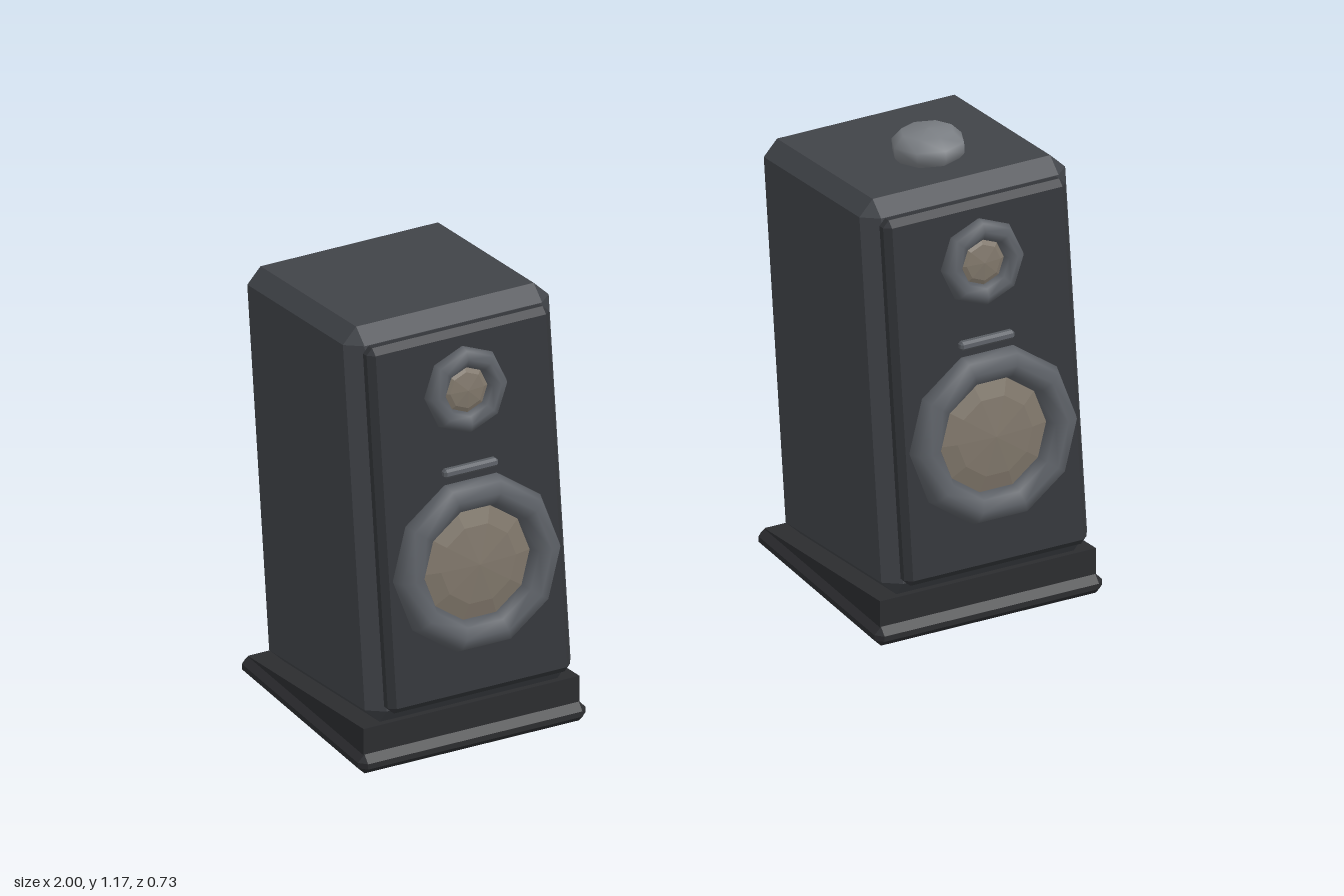
import * as THREE from 'three';
import { ConvexGeometry } from 'three/addons/geometries/ConvexGeometry.js';

const TILT = 0.118;
const mat = (color, flatShading = false) => new THREE.MeshStandardMaterial({ color, flatShading });
const CABINET = mat(0x42454a, true);
const PANEL = mat(0x34363a, true);
const BASE = mat(0x2c2d30, true);
const RING = mat(0x5c6066);
const CONE = mat(0x7d7468, true);
const PORT = mat(0x1c1a17, true);
const KNOB = mat(0x7b7f84);

function add(parent, name, geometry, material, x = 0, y = 0, z = 0) {
  const mesh = new THREE.Mesh(geometry, material);
  mesh.name = name;
  mesh.position.set(x, y, z);
  parent.add(mesh);
  return mesh;
}

// Box with every edge cut by a single chamfer b
function chamferBox(w, h, d, b) {
  const half = [w / 2, h / 2, d / 2];
  const points = [];
  for (const sx of [-1, 1]) for (const sy of [-1, 1]) for (const sz of [-1, 1]) {
    for (let axis = 0; axis < 3; axis++) {
      const c = half.map((v, i) => (i === axis ? v : v - b));
      points.push(new THREE.Vector3(sx * c[0], sy * c[1], sz * c[2]));
    }
  }
  return new ConvexGeometry(points);
}

// Solid of revolution around y, with a corner on the x axis
function lathe(profile, sides) {
  return new THREE.LatheGeometry(profile.map(([r, y]) => new THREE.Vector2(r, y)), sides, Math.PI / 2);
}

// Faceted surround with a shallow dome, facing +z
function driver(parent, name, y, z, radius, tube, sides, height) {
  const group = new THREE.Group();
  group.name = name;
  group.position.set(0, y, z);
  add(group, name + 'Ring', new THREE.TorusGeometry(radius, tube, 8, sides), RING);
  const dome = lathe([[radius, -0.01], [radius * 0.55, height * 0.6], [0, height]], sides);
  add(group, name + 'Cone', dome.rotateX(Math.PI / 2), CONE);
  parent.add(group);
}

function createSpeaker(name, x) {
  const speaker = new THREE.Group();
  speaker.name = name;
  speaker.position.x = x;

  // Foot plate and the wedge that leans the cabinet back
  add(speaker, 'footPlate', chamferBox(0.612, 0.05, 0.615, 0.018), BASE, 0, 0.025, -0.009);
  const side = new THREE.Shape([
    new THREE.Vector2(0.28, 0.03), new THREE.Vector2(0.28, 0.118),
    new THREE.Vector2(-0.295, 0.05), new THREE.Vector2(-0.295, 0.03),
  ]);
  const wedge = new THREE.ExtrudeGeometry(side, { depth: 0.58, bevelEnabled: false });
  wedge.translate(0, 0, -0.29).rotateY(-Math.PI / 2);
  add(speaker, 'wedge', wedge, BASE);

  // Everything above leans back together
  const body = new THREE.Group();
  body.name = 'body';
  body.rotation.x = -TILT;
  speaker.add(body);
  add(body, 'cabinet', chamferBox(0.553, 1.006, 0.557, 0.038), CABINET, 0, 0.589, 0.0365);
  add(body, 'frontPanel', chamferBox(0.49, 0.93, 0.05, 0.016), PANEL, 0, 0.5885, 0.326);

  // Drivers and trim bar
  driver(body, 'woofer', 0.463, 0.36, 0.183, 0.04, 10, 0.02);
  driver(body, 'tweeter', 0.903, 0.358, 0.083, 0.027, 8, 0.015);
  add(body, 'trimBar', chamferBox(0.145, 0.022, 0.024, 0.006), RING, 0, 0.703, 0.356);

  // Bass port and terminal plate on the back
  add(body, 'portRing', new THREE.TorusGeometry(0.077, 0.03, 8, 10), PANEL, 0, 0.525, -0.252);
  const plug = new THREE.CylinderGeometry(0.07, 0.07, 0.05, 10, 1, false, Math.PI / 2);
  add(body, 'port', plug.rotateX(Math.PI / 2), PORT, 0, 0.525, -0.247);
  add(body, 'terminalPlate', chamferBox(0.22, 0.148, 0.042, 0.012), PANEL, 0, 0.243, -0.25);
  return speaker;
}

export function createModel() {
  const model = new THREE.Group();
  model.name = 'speakerPair';
  const left = createSpeaker('leftSpeaker', 0.694);
  model.add(createSpeaker('rightSpeaker', -0.694), left);

  // Control knob on the left speaker only
  const profile = [[0, -0.045], [0.065, -0.04], [0.09, -0.012], [0.09, 0.014], [0.065, 0.04], [0, 0.045]];
  add(left.getObjectByName('body'), 'knob', lathe(profile, 8), KNOB, 0, 1.119, 0.113);
  return model;
}
